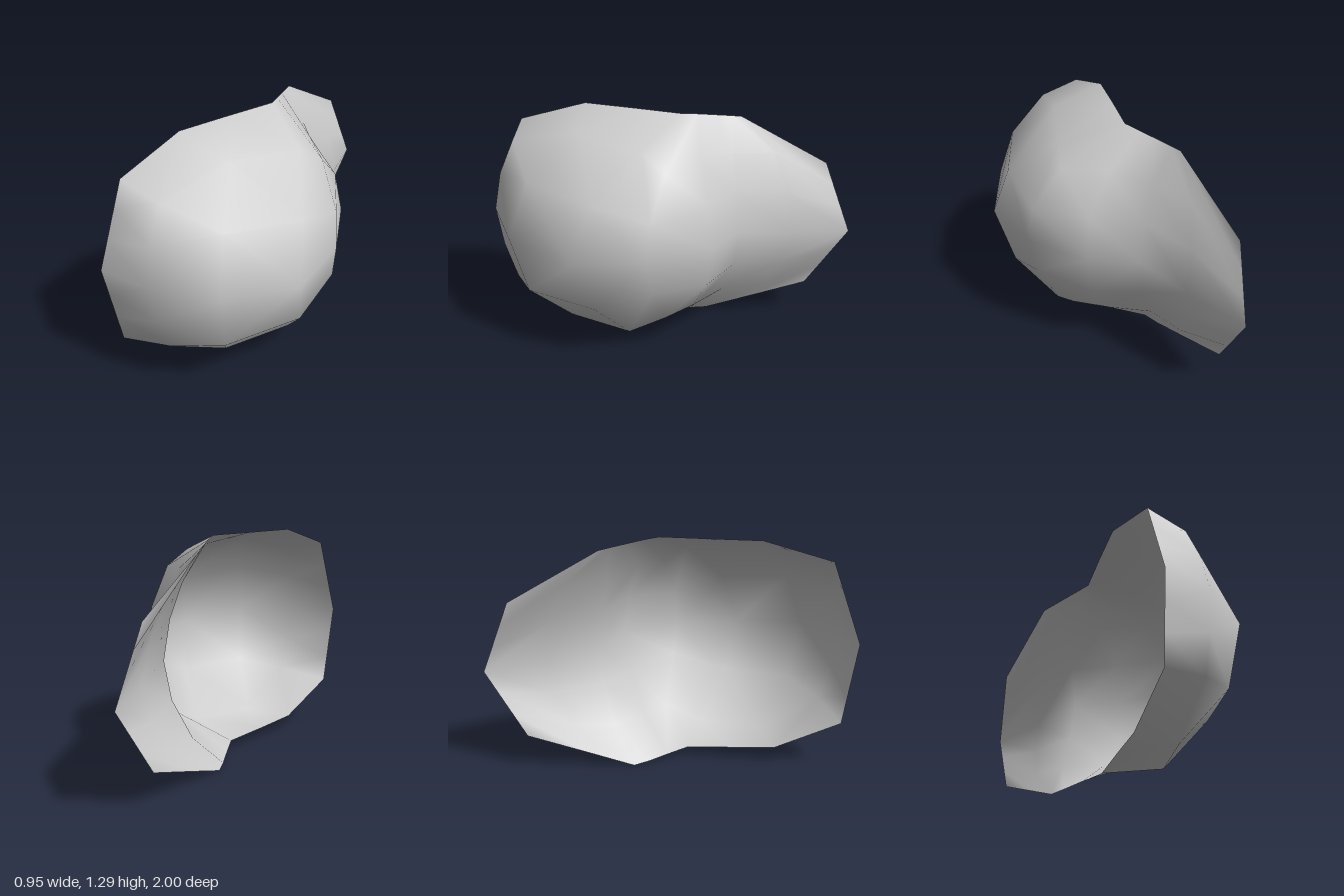
import * as THREE from 'three';

// Cross-sections of the bowl, from the front rim to its back.
// Each runs from the bottom rim, round the outside, to the top rim.
const bowl = [
  [[-.44, .26, .91], [-.475, .73, .97], [-.41, 1.18, .82]],
  [[-.29, .09, .58], [-.15, .31, .91], [-.175, .51, .97], [-.19, .73, 1], [-.19, .94, .955], [-.18, 1.13, .87], [-.29, 1.29, .46]],
  [[-.18, .07, .36], [0, .1, .61], [.125, .36, .84], [.15, .7, .92], [.12, 1, .8], [.01, 1.22, .52], [-.15, 1.29, .21]],
  [[-.06, .05, .13], [.235, .1, .3], [.385, .36, .5], [.43, .66, .61], [.39, .96, .49], [.25, 1.18, .21], [-.01, 1.29, -.03]],
  [[-.08, .03, 0], [.28, .2, .1], [.45, .46, .2], [.475, .66, .23], [.455, .86, .2], [.33, 1.09, .1], [-.02, 1.28, -.12]],
];

// Cross-sections of the flap, from its root to its tip.
const flap = [
  [[-.1, .01, -.12], [.17, .2, -.08], [.33, .42, -.12], [.37, .66, -.14], [.33, .89, -.12], [.18, 1.1, -.1], [-.035, 1.265, -.22]],
  [[-.11, 0, -.21], [.02, .2, -.28], [.125, .42, -.32], [.165, .64, -.33], [.13, .87, -.32], [.06, 1.07, -.31], [-.05, 1.25, -.32]],
  [[-.05, .09, -.47], [.04, .22, -.52], [.105, .4, -.6], [.145, .6, -.65], [.1, .83, -.62], [.03, 1.05, -.55], [-.06, 1.24, -.38]],
  [[.02, .2, -.79], [.11, .57, -1], [.03, .97, -.86]],
];

// Split a three-point straight edge into seven points.
function subdivide(row) {
  if (row.length === 7) return row;
  const mix = (p, q, t) => p.map((v, k) => v + (q[k] - v) * t);
  const [a, b, c] = row;
  return [a, mix(a, b, 1 / 3), mix(a, b, 2 / 3), b, mix(b, c, 1 / 3), mix(b, c, 2 / 3), c];
}

// Skin the sections with one smooth open sheet, its diagonals mirrored top to bottom.
function loft(sections) {
  const rows = sections.map(subdivide), n = 7, index = [];
  for (let s = 0; s < rows.length - 1; s++) {
    for (let i = 0; i < n - 1; i++) {
      const a = s * n + i, b = a + n;
      if (i < 3) index.push(a, b, b + 1, a, b + 1, a + 1);
      else index.push(a, b, a + 1, b, b + 1, a + 1);
    }
  }
  const geometry = new THREE.BufferGeometry();
  geometry.setAttribute('position', new THREE.Float32BufferAttribute(rows.flat(2), 3));
  geometry.setIndex(index);
  geometry.computeVertexNormals();
  return geometry;
}

export function createModel() {
  const group = new THREE.Group();
  group.name = 'curvedShell';
  const grey = new THREE.MeshStandardMaterial({ color: 0xcccccc, side: THREE.DoubleSide });
  grey.name = 'light grey';

  // Hollow bowl flowing into a thin upright flap
  const shell = new THREE.Mesh(loft([...bowl, ...flap]), grey);
  shell.name = 'bowlAndFlap';
  group.add(shell);
  return group;
}
